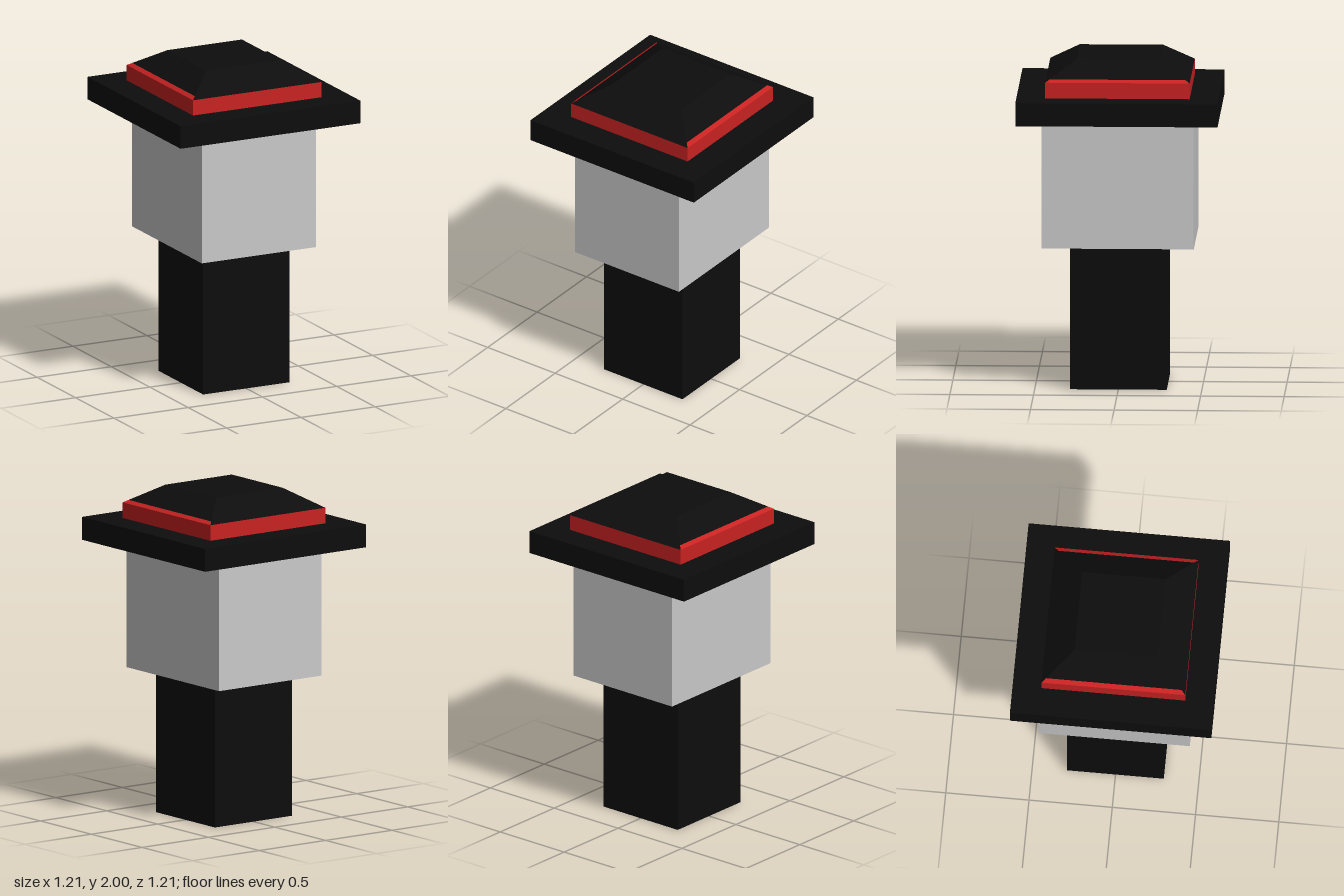
import * as THREE from 'three';

const black = new THREE.MeshStandardMaterial({ color: 0x0d0d0d });
black.name = 'black';
const red = new THREE.MeshStandardMaterial({ color: 0xc92222 });
red.name = 'red';
const grey = new THREE.MeshStandardMaterial({ color: 0xc9c9c9 });
grey.name = 'light grey';

// Box from y0 to y1 with half sizes hx, hz; the top may taper to a square of half size top
function block(name, material, hx, hz, y0, y1, top) {
  const geometry = new THREE.BoxGeometry(2 * hx, y1 - y0, 2 * hz);
  geometry.translate(0, (y0 + y1) / 2, 0);
  if (top !== undefined) {
    const p = geometry.attributes.position;
    const middle = (y0 + y1) / 2;
    for (let i = 0; i < p.count; i++) {
      if (p.getY(i) > middle) {
        p.setX(i, Math.sign(p.getX(i)) * top);
        p.setZ(i, Math.sign(p.getZ(i)) * top);
      }
    }
    geometry.computeVertexNormals();
  }
  const mesh = new THREE.Mesh(geometry, material);
  mesh.name = name;
  return mesh;
}

export function createModel() {
  const model = new THREE.Group();
  model.name = 'squarePost';
  model.add(
    block('post', black, 0.29, 0.29, 0, 0.87),
    block('collar', grey, 0.385, 0.455, 0.87, 1.64),
    block('plate', black, 0.605, 0.605, 1.65, 1.79),
    block('band', red, 0.432, 0.432, 1.79, 1.885),
    // Foot of the sloped cap: red on the left and right, black on the front and back
    block('capFoot', [red, red, black, black, black, black], 0.432, 0.432, 1.885, 1.901, 0.407),
    block('cap', black, 0.407, 0.407, 1.901, 2, 0.25),
  );
  return model;
}
